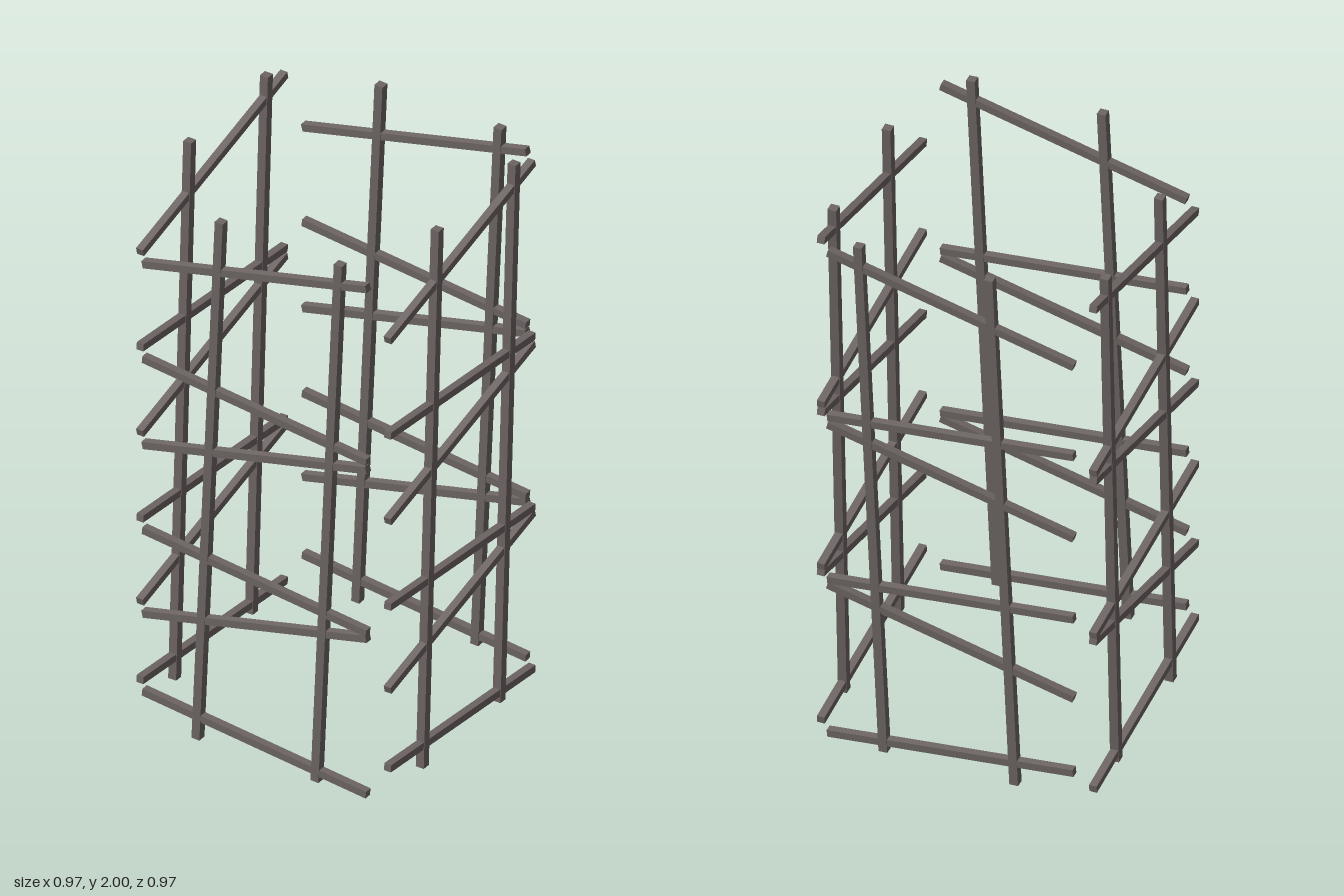
import * as THREE from 'three';

const material = new THREE.MeshStandardMaterial({ color: 0x6e6664, flatShading: true });

// Square bar running between two points of the panel plane
function bar(name, x0, y0, x1, y1, size) {
  const dx = x1 - x0, dy = y1 - y0;
  const mesh = new THREE.Mesh(new THREE.BoxGeometry(Math.hypot(dx, dy), size, size), material);
  mesh.position.set((x0 + x1) / 2, (y0 + y1) / 2, 0);
  mesh.rotation.z = Math.atan2(dy, dx);
  mesh.name = name;
  return mesh;
}

// One lattice panel: two leaning posts crossed by zigzag rails
function latticePanel(name) {
  const panel = new THREE.Group();
  panel.name = name;

  const posts = [[-0.22, -0.132], [0.23, 0.318]]; // x at bottom, x at top
  posts.forEach(([x0, x1], i) => panel.add(bar(`post${i + 1}`, x0, 0.001, x1, 1.999, 0.03)));

  const rails = [ // height at each end
    [0.106, 0.017], [0.403, 0.611], [0.722, 0.632],
    [1.046, 1.254], [1.374, 1.284], [1.735, 1.944],
  ];
  rails.forEach(([y0, y1], i) => panel.add(bar(`rail${i + 1}`, -0.423, y0, 0.423, y1, 0.026)));
  return panel;
}

export function createModel() {
  const model = new THREE.Group();
  model.name = 'latticeTower';
  const offset = 0.468;

  // Opposite panels are straight copies of each other
  for (const side of [1, -1]) {
    const frontBack = latticePanel(side > 0 ? 'frontPanel' : 'backPanel');
    frontBack.position.z = side * offset;

    const leftRight = latticePanel(side > 0 ? 'leftPanel' : 'rightPanel');
    leftRight.position.x = side * offset;
    leftRight.rotation.y = Math.PI / 2;

    model.add(frontBack, leftRight);
  }
  return model;
}
